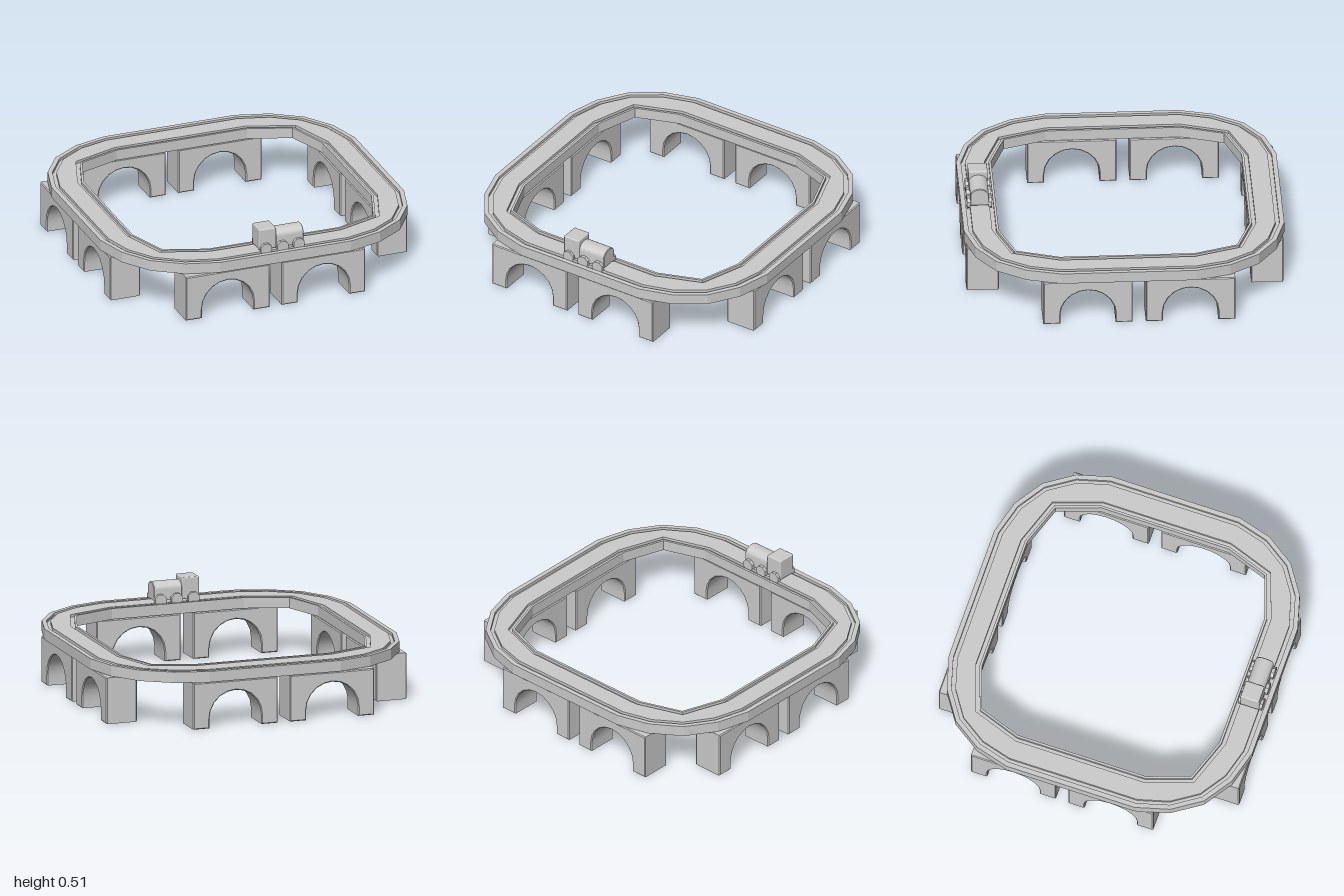
import * as THREE from 'three';
import { toCreasedNormals } from 'three/addons/utils/BufferGeometryUtils.js';
import { RoundedBoxGeometry } from 'three/addons/geometries/RoundedBoxGeometry.js';

const grey = new THREE.MeshStandardMaterial({ color: 0xcccccc });
const shell = new THREE.MeshStandardMaterial({ color: 0xcccccc, side: THREE.DoubleSide });

function add(parent, name, geometry, material = grey) {
  const mesh = new THREE.Mesh(geometry, material);
  mesh.name = name;
  parent.add(mesh);
  return mesh;
}

// Rounded-square loop: four corner arcs of radius r, coarser on the inside of the track
function loop(r) {
  const outer = r > 0.45;
  const segs = outer ? 4 : 2;
  const pts = [];
  for (let q = 0; q < 4; q++) {
    const mid = (q + 0.5) * Math.PI / 2;
    const cx = 0.43 * Math.sign(Math.cos(mid));
    const cy = 0.415 * Math.sign(Math.sin(mid));
    for (let i = 0; i <= segs; i++) {
      const a = (q + i / segs) * Math.PI / 2;
      const k = i === 0 || i === segs ? r : r * (outer ? 0.97 : 1.05);
      pts.push(new THREE.Vector2(cx + k * Math.cos(a), cy + k * Math.sin(a)));
    }
  }
  return pts;
}

// Flat band of track between two loops
function band(rOut, rIn, y0, y1) {
  const shape = new THREE.Shape(loop(rOut));
  shape.holes.push(new THREE.Path(loop(rIn)));
  const g = new THREE.ExtrudeGeometry(shape, { depth: y1 - y0, bevelEnabled: false });
  return g.rotateX(-Math.PI / 2).translate(0, y0, 0);
}

// Arched block with softened edges and open feet
function archGeometry() {
  const w = 0.275, h = 0.292, r = 0.17, spring = 0.06, bevel = 0.006;
  const pts = [[w, 0], [w, h], [-w, h], [-w, 0], [-r, 0]];
  for (let i = 0; i <= 10; i++) {
    const a = Math.PI * (1 - i / 10);
    pts.push([r * Math.cos(a), spring + r * Math.sin(a)]);
  }
  pts.push([r, 0]);
  const shape = new THREE.Shape(pts.map(p => new THREE.Vector2(...p)));
  const depth = 0.2 - 2 * bevel;
  const g = new THREE.ExtrudeGeometry(shape, {
    depth, bevelThickness: bevel, bevelSize: bevel, bevelOffset: -bevel, bevelSegments: 1,
  }).translate(0, 0, -depth / 2);
  // drop the faces lying on the ground
  const src = g.attributes.position.array;
  const kept = [];
  for (let i = 0; i < src.length; i += 9) {
    if (Math.max(src[i + 1], src[i + 4], src[i + 7]) > 0.001) kept.push(...src.slice(i, i + 9));
  }
  const open = new THREE.BufferGeometry();
  open.setAttribute('position', new THREE.Float32BufferAttribute(kept, 3));
  return toCreasedNormals(open, 0.5);
}

function createTrack() {
  const track = new THREE.Group();
  track.name = 'track';
  const y0 = 0.295, y1 = 0.363, groove = 0.018;
  add(track, 'outerRim', band(0.57, 0.54, y0, y1));
  add(track, 'outerGroove', band(0.54, 0.515, y0 + groove, y1 - groove));
  add(track, 'trackBed', band(0.515, 0.395, y0, y1));
  add(track, 'innerGroove', band(0.395, 0.37, y0 + groove, y1 - groove));
  add(track, 'innerRim', band(0.37, 0.355, y0, y1));
  return track;
}

function createBridges() {
  const bridges = new THREE.Group();
  bridges.name = 'bridges';
  const arch = archGeometry();
  for (const side of [-1, 1]) {
    for (const along of [-0.378, 0.253]) {
      add(bridges, 'archBridge', arch, shell).position.set(along, 0, side * 0.875);
      const b = add(bridges, 'archBridge', arch, shell);
      b.position.set(side * 0.88, 0, along);
      b.rotation.y = Math.PI / 2;
    }
  }
  return bridges;
}

function createTrain() {
  const train = new THREE.Group();
  train.name = 'train';
  train.position.z = 0.872;

  // Cab
  add(train, 'cab', new RoundedBoxGeometry(0.112, 0.137, 0.12, 2, 0.008)).position.set(-0.099, 0.442, 0);

  // Boiler with arched top
  const r = 0.057;
  const profile = new THREE.Shape();
  profile.moveTo(-r, 0.375);
  profile.lineTo(r, 0.375);
  profile.lineTo(r, 0.445);
  profile.absellipse(0, 0.445, r, 0.043, 0, Math.PI, false, 0);
  profile.closePath();
  const boiler = new THREE.ExtrudeGeometry(profile, {
    depth: 0.176, curveSegments: 12, bevelThickness: 0.004, bevelSize: 0.004, bevelOffset: -0.004, bevelSegments: 1,
  });
  boiler.rotateY(Math.PI / 2).translate(-0.04, 0, 0);
  add(train, 'boiler', toCreasedNormals(boiler, 0.5));

  // Octagonal wheels running in the grooves
  const wheel = new THREE.CylinderGeometry(0.039, 0.039, 0.022, 8).rotateY(Math.PI / 8).rotateX(Math.PI / 2);
  for (const x of [-0.113, -0.005, 0.102]) {
    for (const side of [-1, 1]) {
      add(train, 'wheel', toCreasedNormals(wheel, 0.5)).position.set(x, 0.381, side * 0.066);
    }
  }
  return train;
}

export function createModel() {
  const model = new THREE.Group();
  model.name = 'trainTrack';
  model.add(createTrack(), createBridges(), createTrain());
  return model;
}
